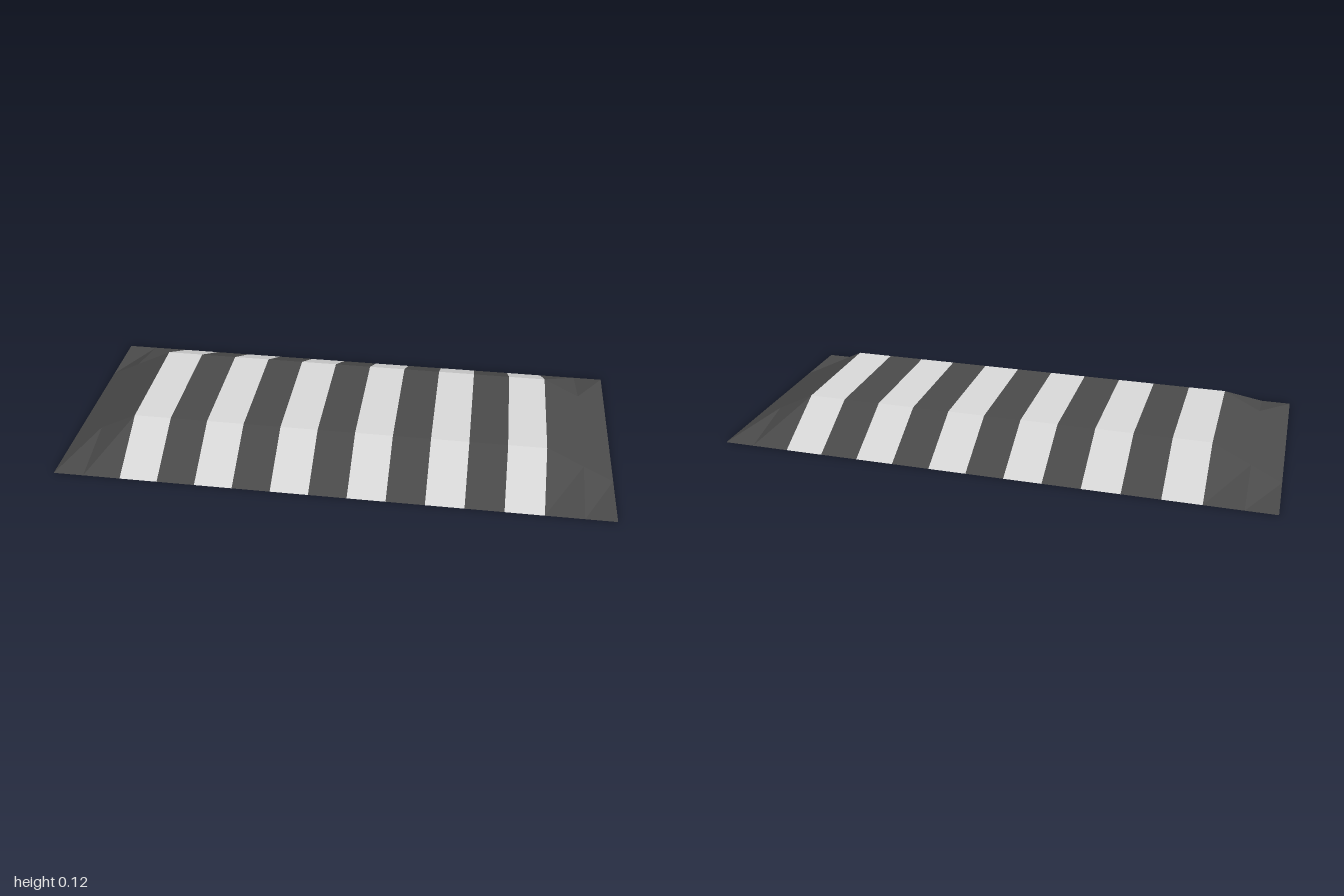
import * as THREE from 'three';

const H = 0.122, TOP_Z = 0.23, BASE_Z = 0.457, FLAT_X = 0.754, MID_X = 0.89, END_X = 1;
const STRIPES = 11;

// Flat-shaded open surface from a list of quads (corners counter-clockwise from outside)
function quadMesh(name, quads, material) {
  const pos = [];
  for (const [a, b, c, d] of quads) pos.push(...a, ...b, ...c, ...a, ...c, ...d);
  const geo = new THREE.BufferGeometry();
  geo.setAttribute('position', new THREE.Float32BufferAttribute(pos, 3));
  geo.computeVertexNormals();
  const mesh = new THREE.Mesh(geo, material);
  mesh.name = name;
  return mesh;
}

// Cross-section of the hump at x, front to back, with its crown at height y
const section = (x, y) => [[x, 0, BASE_Z], [x, y, TOP_Z], [x, y, -TOP_Z], [x, 0, -BASE_Z]];

// Surface between two neighbouring sections, the first at the lower x
function strip(p, q) {
  return [0, 1, 2].map((i) => [p[i], q[i], q[i + 1], p[i + 1]]);
}

export function createModel() {
  const group = new THREE.Group();
  group.name = 'speedBump';

  const light = new THREE.MeshStandardMaterial({ color: 0xd9d9d9, side: THREE.DoubleSide });
  light.name = 'pale paint';
  const dark = new THREE.MeshStandardMaterial({ color: 0x4a4a4a, side: THREE.DoubleSide });
  dark.name = 'dark rubber';

  // Alternating stripes over the raised part, pale at both ends
  const step = (2 * FLAT_X) / STRIPES;
  for (let i = 0; i < STRIPES; i++) {
    const x = -FLAT_X + i * step;
    const pale = i % 2 === 0;
    group.add(quadMesh(pale ? 'paleStripe' : 'darkStripe',
      strip(section(x, H), section(x + step, H)), pale ? light : dark));
  }

  // Ramped ends, each falling to the ground through one middle section
  const midY = (H * (END_X - MID_X)) / (END_X - FLAT_X);
  const ramp = [section(FLAT_X, H), section(MID_X, midY), section(END_X, 0)];
  const mirrored = ramp.map((s) => s.map(([x, y, z]) => [-x, y, z]));
  group.add(quadMesh('leftRamp', [...strip(ramp[0], ramp[1]), ...strip(ramp[1], ramp[2])], dark));
  group.add(quadMesh('rightRamp',
    [...strip(mirrored[1], mirrored[0]), ...strip(mirrored[2], mirrored[1])], dark));

  return group;
}
